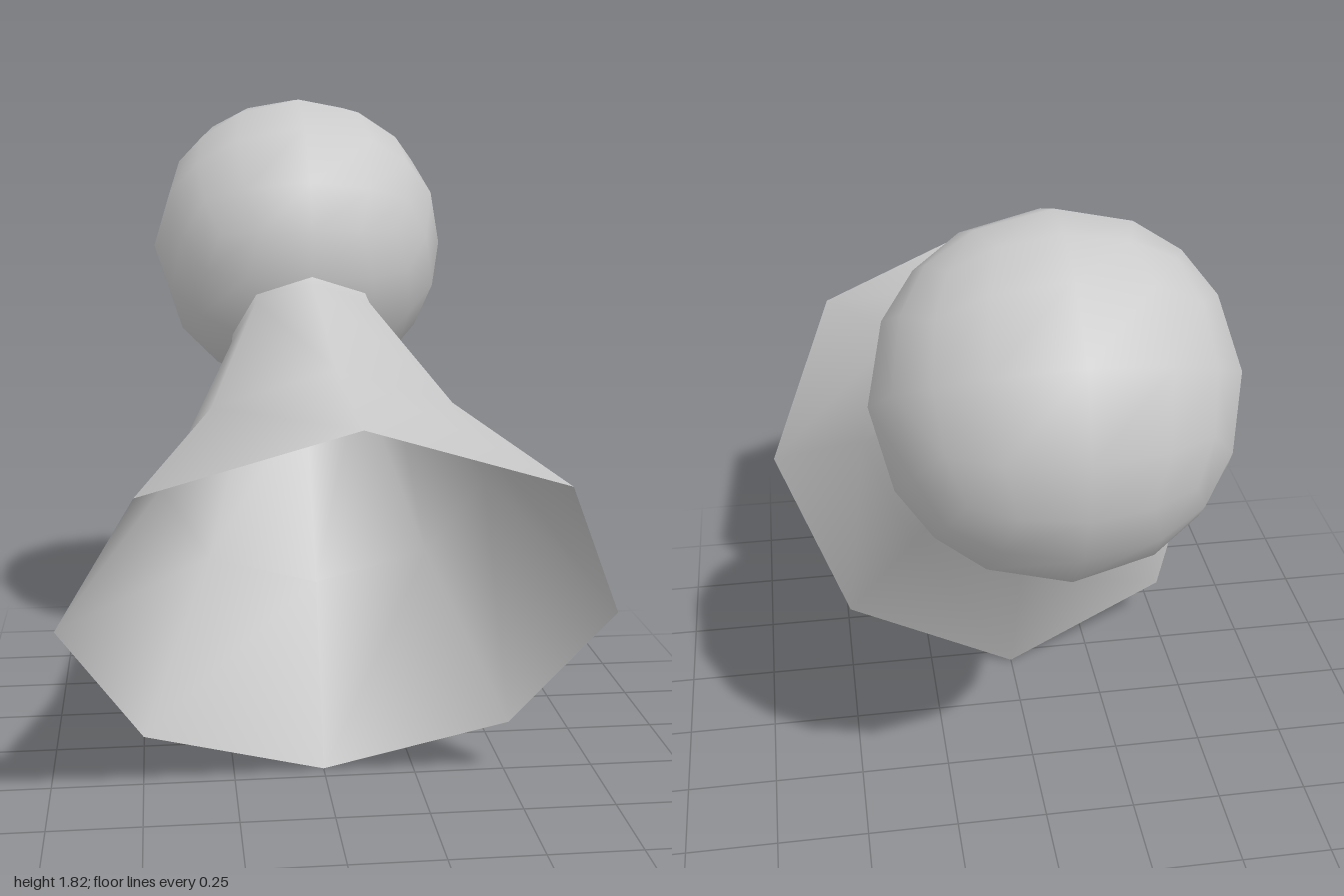
import * as THREE from 'three';

// Cube grid pushed out to a sphere, with smooth radial normals
function cubeSphere(radius, segments) {
  const geometry = new THREE.BoxGeometry(2, 2, 2, segments, segments, segments);
  const position = geometry.attributes.position;
  const normal = geometry.attributes.normal;
  const v = new THREE.Vector3();
  for (let i = 0; i < position.count; i++) {
    v.fromBufferAttribute(position, i).normalize();
    normal.setXYZ(i, v.x, v.y, v.z);
    position.setXYZ(i, v.x * radius, v.y * radius, v.z * radius);
  }
  return geometry;
}

export function createModel() {
  const model = new THREE.Group();
  model.name = 'bulbHorn';

  // Everything is built along one axis, then tilted back
  const body = new THREE.Group();
  body.name = 'tiltedBody';
  body.position.set(0, 0.575, 0.6);
  body.rotation.x = -0.963;
  model.add(body);

  // Open eight-sided flare: rim, waist, neck, lip
  const profile = [[0.7, 0], [0.431, 0.448], [0.223, 0.99], [0.219, 1.023]]
    .map(([r, y]) => new THREE.Vector2(r, y));
  const flare = new THREE.Mesh(
    new THREE.LatheGeometry(profile, 8),
    new THREE.MeshStandardMaterial({ color: 0xcccccc, side: THREE.DoubleSide })
  );
  flare.name = 'flare';
  body.add(flare);

  // Round bulb seated on the neck
  const bulb = new THREE.Mesh(
    cubeSphere(0.438, 4),
    new THREE.MeshStandardMaterial({ color: 0xcccccc })
  );
  bulb.name = 'bulb';
  bulb.position.y = 1.42;
  body.add(bulb);

  return model;
}
